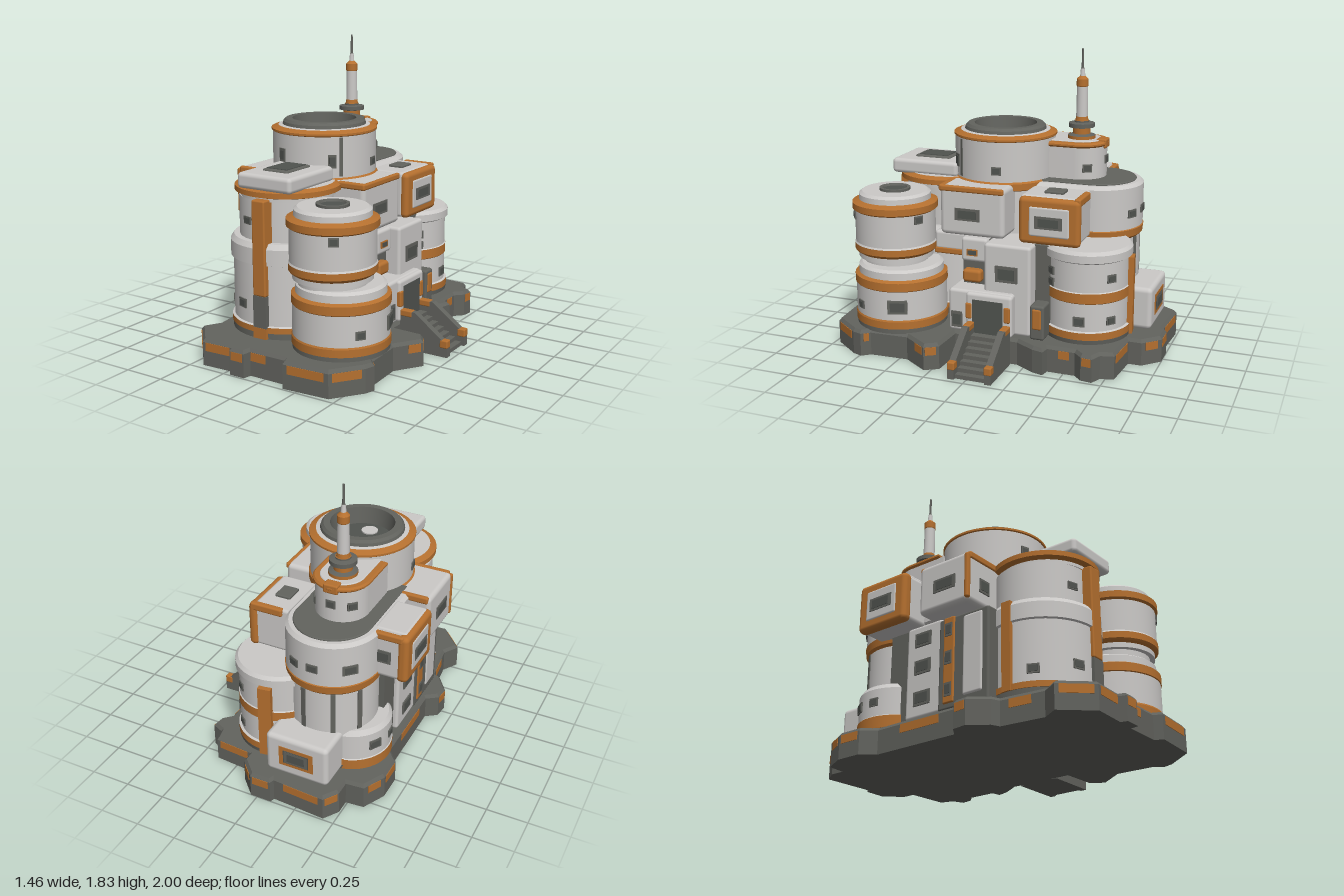
import * as THREE from 'three';
import { toCreasedNormals } from 'three/addons/utils/BufferGeometryUtils.js';
import { RoundedBoxGeometry } from 'three/addons/geometries/RoundedBoxGeometry.js';

const mat = (name, color) => Object.assign(new THREE.MeshStandardMaterial({ color }), { name });
const PALE = mat('pale panel', 0xcbc9c7);
const RUST = mat('rust orange', 0xb5702f);
const DARK = mat('dark metal', 0x62635e);
const GLASS = mat('window glass', 0x50534f);
const DEG = Math.PI / 180;

export function createModel() {
  const root = new THREE.Group();
  root.name = 'habitatBase';

  const add = (geo, m, name, parent = root) => {
    const mesh = new THREE.Mesh(geo, m);
    mesh.name = name;
    parent.add(mesh);
    return mesh;
  };

  // Box given by its limits, with softened edges
  const box = (name, m, x0, x1, y0, y1, z0, z1, r = 0.02) => {
    const w = x1 - x0, h = y1 - y0, d = z1 - z0;
    const geo = r ? new RoundedBoxGeometry(w, h, d, 2, Math.min(r, w / 2.1, h / 2.1, d / 2.1))
      : new THREE.BoxGeometry(w, h, d);
    add(geo, m, name).position.set((x0 + x1) / 2, (y0 + y1) / 2, (z0 + z1) / 2);
  };

  // Turned drum: points run upwards, each [radius, y, material of the band ending here]
  const drum = (name, x, z, pts) => {
    const g = new THREE.Group();
    g.name = name;
    g.position.set(x, 0, z);
    for (let i = 1; i < pts.length; i++) {
      const pair = [pts[i - 1], pts[i]].map(p => new THREE.Vector2(p[0], p[1]));
      add(new THREE.LatheGeometry(pair, 48), pts[i][2] || PALE, name + 'Band', g);
    }
    root.add(g);
  };

  // Block with a round rear end and straight sides running forward
  const roundBack = (name, m, x, z, r, zFront, y0, y1, bevel) => {
    const s = new THREE.Shape();
    s.moveTo(x - r, -zFront);
    s.lineTo(x + r, -zFront);
    s.absarc(x, -z, r, 0, Math.PI);
    s.closePath();
    const geo = new THREE.ExtrudeGeometry(s, { depth: y1 - y0 - 2 * bevel, bevelThickness: bevel, bevelSize: bevel,
      bevelOffset: -bevel, bevelSegments: 1, curveSegments: 32 });
    add(toCreasedNormals(geo.rotateX(-Math.PI / 2).translate(0, y0 + bevel, 0), 0.5), m, name);
  };

  // Window facing the given angle (0 = front, 90 = +x)
  const pane = (x, y, z, deg, w, h, frame = DARK) => {
    const g = new THREE.Group();
    g.name = 'window';
    g.position.set(x, y, z);
    g.rotation.y = deg * DEG;
    add(new THREE.BoxGeometry(w, h, 0.012), frame, 'windowFrame', g);
    add(new THREE.BoxGeometry(w * 0.74, h * 0.66, 0.008), GLASS, 'windowGlass', g).position.z = 0.005;
    root.add(g);
  };
  const drumPanes = (x, z, r, list) => list.forEach(([deg, y, w = 0.06, h = 0.05]) =>
    pane(x + Math.sin(deg * DEG) * r, y, z + Math.cos(deg * DEG) * r, deg, w, h));

  // Vertical rib on a drum
  const rib = (x, z, r, deg, y0, y1, w, m) => {
    const s = add(new THREE.BoxGeometry(w, y1 - y0, 0.04), m, 'drumRib');
    s.position.set(x + Math.sin(deg * DEG) * r, (y0 + y1) / 2, z + Math.cos(deg * DEG) * r);
    s.rotation.y = deg * DEG;
  };

  // Foundation slab
  const edge = [[-.43, -.99], [-.10, -.97], [-.09, -1], [.04, -1], [.14, -.9], [.14, -.82], [.39, -.8], [.41, -.72],
    [.48, -.69], [.47, -.62], [.42, -.57], [.42, -.4], [.48, -.39], [.46, -.32], [.39, -.2], [.39, .2], [.61, .21],
    [.66, .29], [.55, .45], [.56, .69], [.6, .74], [.58, .8], [.45, .97], [.16, .99], [.14, .94], [-.1, .94],
    [-.11, .99], [-.21, .99], [-.22, .95], [-.43, .96], [-.58, .79], [-.52, .69], [-.55, .42], [-.6, .4],
    [-.68, .29], [-.67, .2], [-.6, .15], [-.6, -.42], [-.67, -.5], [-.67, -.66], [-.6, -.8], [-.49, -.81], [-.49, -.9]];
  const slab = new THREE.Shape(edge.map(([x, z]) => new THREE.Vector2(x, -z)));
  const lower = new THREE.ExtrudeGeometry(slab, { depth: 0.1, bevelEnabled: false });
  const upper = new THREE.ExtrudeGeometry(slab, {
    depth: 0.06, bevelThickness: 0.02, bevelSize: 0.015, bevelOffset: -0.015, bevelSegments: 1 });
  add(lower.rotateX(-Math.PI / 2), DARK, 'foundation');
  add(upper.rotateX(-Math.PI / 2).translate(0, 0.083, 0), DARK, 'foundationTop');

  // Painted strips on the slab edge: [edge index, start, end]
  [[0, .1, .8], [2, .1, .9], [3, .2, .8], [5, .1, .9], [8, .1, .9], [10, .2, .6], [16, .2, .9], [17, .1, .5], [19, .2, .7],
    [21, .1, .9], [22, .1, .9], [24, .55, .98], [26, .1, .9], [28, .1, .9], [29, .1, .9], [31, .3, .8], [34, .1, .9],
    [36, .2, .7], [38, .1, .9], [39, .2, .8], [42, .1, .9]].forEach(([i, t0, t1]) => {
    const [ax, az] = edge[i], [bx, bz] = edge[(i + 1) % edge.length];
    const dx = bx - ax, dz = bz - az, t = (t0 + t1) / 2;
    const s = add(new THREE.BoxGeometry(Math.hypot(dx, dz) * (t1 - t0), 0.05, 0.007), RUST, 'edgeStrip');
    s.position.set(ax + dx * t, 0.117, az + dz * t);
    s.rotation.y = Math.atan2(-dz, dx);
  });

  // Front right double drum
  drum('frontRightLowerDrum', .295, .6, [[.28, .16], [.28, .19, DARK], [.285, .19, RUST], [.285, .235, RUST], [.28, .245, RUST],
    [.28, .425], [.285, .43, RUST], [.285, .48, RUST], [.262, .492, RUST], [.26, .535], [.24, .55], [0, .55]]);
  drum('frontRightUpperDrum', .27, .645, [[.2, .54], [.2, .575], [.23, .575], [.23, .605], [.245, .615, RUST],
    [.253, .625, RUST], [.253, .665, RUST], [.247, .675], [.247, .87], [.262, .88, RUST], [.262, .92, RUST],
    [.222, .937, RUST], [.22, .97], [.2, .985], [.095, .985], [.095, 1, DARK], [.075, 1, DARK], [.07, .99, DARK], [0, .99, GLASS]]);
  drumPanes(.27, .645, .247, [[34, .84], [150, .84]]);
  drumPanes(.295, .6, .28, [[110, .33, .12, .085], [55, .31]]);

  // Front left tower with collar
  drum('frontLeftTower', -.185, .45, [[.33, .16], [.33, .2, DARK], [.335, .2, RUST], [.335, .235, RUST], [.32, .24],
    [.32, .6], [.335, .605], [.335, .7], [.315, .73], [.28, .73], [.28, .97], [0, .97]]);
  drum('frontLeftRoof', -.165, .46, [[.28, .97], [.28, .99], [.315, 1, RUST], [.315, 1.03, RUST], [.275, 1.045, RUST],
    [0, 1.045]]);
  drumPanes(-.185, .45, .32, [[-19, .35, .07, .055], [-65, .31, .07, .055]]);
  drumPanes(-.185, .45, .28, [[-18, .84, .065, .045]]);
  rib(-.185, .45, .32, -92, .2, .73, .06, RUST);
  // Long front strip
  box('frontStrip', RUST, -.19, -.1, .42, .985, .7, .79, .01);
  box('frontStripLower', DARK, -.19, -.1, .23, .42, .7, .788, 0);
  box('frontStripFoot', RUST, -.19, -.1, .165, .23, .7, .79, 0);

  // Roof hatch over the front left tower
  box('roofHatch', PALE, -.31, .065, 1.035, 1.128, .32, .765, .025);
  box('roofHatchRim', DARK, -.215, -.035, 1.1, 1.14, .41, .65, .015);
  box('roofHatchPanel', GLASS, -.195, -.055, 1.135, 1.144, .435, .625, 0);

  // Central drum with hollow top
  drum('centralDrum', -.163, .08, [[.3, .16], [.3, .99], [.325, 1, RUST], [.325, 1.04, RUST], [.315, 1.05, RUST], [.315, 1.295],
    [.322, 1.3, RUST], [.322, 1.312, RUST], [.28, 1.328, RUST], [.255, 1.332], [.25, 1.35, DARK], [.235, 1.365, DARK],
    [.195, 1.365, DARK], [.18, 1.26, DARK], [0, 1.26, GLASS]]);
  add(new THREE.CylinderGeometry(.05, .05, .008, 24), PALE, 'roofLamp').position.set(-.17, 1.264, .17);
  drumPanes(-.163, .08, .315, [[-18, 1.17, .05, .08], [42, 1.15, .05, .08], [-80, 1.12], [100, 1.12], [200, 1.15]]);
  rib(-.163, .08, .3, 52, 1.06, 1.29, .02, DARK);

  // Rear tower and roof deck
  drum('rearTower', -.26, -.5, [[.27, .16], [.275, .19, DARK], [.275, .235, RUST], [.265, .24], [.265, .7], [.28, .715, RUST],
    [.285, .76, RUST], [.275, .77, RUST]]);
  roundBack('rearTowerUpper', PALE, -.26, -.5, .28, 0, .745, 1.04, .02);
  roundBack('rearDeck', DARK, -.26, -.5, .235, 0, 1, 1.05, .005);
  drumPanes(-.26, -.5, .28, [[153, .86, .07, .05], [180, .87, .07, .05], [225, .87, .09, .06]]);
  [165, 205, 240].forEach(a => rib(-.26, -.5, .25, a, .19, .7, .03, DARK));

  // Mast house and mast
  roundBack('mastHouse', PALE, -.26, -.385, .16, -.12, 1.04, 1.25, .005);
  roundBack('mastHouseRim', RUST, -.26, -.385, .172, -.15, 1.245, 1.275, .01);
  roundBack('mastHouseRoof', PALE, -.26, -.385, .132, -.15, 1.25, 1.281, .004);
  box('mastHouseTab', RUST, -.305, -.215, 1.23, 1.287, -.555, -.49, .01);
  drumPanes(-.26, -.385, .16, [[180, 1.16], [225, 1.15], [120, 1.12]]);
  drum('mast', -.26, -.385, [[.085, 1.275], [.085, 1.3, RUST], [.055, 1.31, DARK], [.055, 1.345, RUST], [.08, 1.35, DARK],
    [.08, 1.375, DARK], [.045, 1.38, DARK], [.045, 1.39, DARK], [.04, 1.39, RUST], [.036, 1.415, RUST], [.034, 1.6],
    [.036, 1.605, RUST], [.036, 1.645, RUST], [.016, 1.665, RUST], [.012, 1.71], [.008, 1.715, DARK], [.006, 1.83, DARK], [0, 1.83, DARK]]);

  // Rear right drum
  drum('rearRightDrum', .075, -.54, [[.26, .16], [.265, .19, DARK], [.265, .235, RUST], [.25, .24], [.25, .41],
    [.256, .415, RUST], [.256, .475, RUST], [.25, .48], [.25, .655], [.268, .665], [.268, .71], [.25, .73], [0, .73]]);
  drumPanes(.075, -.54, .25, [[47, .58], [47, .51], [95, .3, .07, .06], [140, .56], [140, .3]]);
  rib(.075, -.54, .26, 188, .17, .65, .08, RUST);

  // Rear left low drum and rear annex
  drum('rearLeftDrum', -.37, -.48, [[.245, .16], [.245, .23, RUST], [.24, .235], [.24, .4], [.22, .43], [0, .43]]);
  drumPanes(-.37, -.48, .24, [[240, .32, .08, .06], [275, .32]]);
  box('rearAnnex', PALE, -.42, -.02, .165, .43, -.915, -.6, .03);
  pane(-.22, .3, -.912, 180, .22, .13, RUST);
  pane(-.22, .3, -.916, 180, .15, .08);

  // Side pods on the left
  box('frontPodLeft', PALE, -.675, -.1, .735, 1.04, -.075, .29, .03);
  box('rearPodLeft', PALE, -.7, -.1, .735, 1.03, -.51, -.15, .03);
  box('rearPodFrameLeft', RUST, -.722, -.65, .73, 1.035, -.515, -.145, .03);
  box('rearPodTopLeft', PALE, -.695, -.5, .95, 1.042, -.475, -.165, .015);
  box('rearPodBackTrimLeft', RUST, -.69, -.5, .99, 1.036, -.517, -.48, .012);
  box('rearPodFaceLeft', PALE, -.727, -.69, .785, .98, -.45, -.21, .015);
  [-.08, .265].forEach(z => box('frontPodTrim', RUST, -.66, -.42, 1, 1.045, z, z + .032, .012));
  box('frontPodTrimEdge', RUST, -.682, -.65, .75, 1.03, .265, .295, .012);
  pane(-.725, .88, -.33, -90, .17, .08);
  pane(-.675, .88, .12, -90, .16, .08);
  pane(-.53, .86, .291, 0, .085, .085);
  pane(-.56, .88, -.511, 180, .12, .08);

  // Side pods on the right
  box('frontPodRight', PALE, -.1, .283, .735, 1.04, -.075, .34, .03);
  box('frontPodTrimRight', RUST, .1, .287, 1.005, 1.045, .31, .346, .012);
  box('frontPodTrimSide', RUST, .26, .288, 1.005, 1.043, -.07, .34, .012);
  pane(.283, .87, .16, 90, .16, .075);
  box('rearPodRight', PALE, -.1, .25, .735, 1.02, -.53, -.165);
  box('rearPodFrameRight', RUST, .225, .285, .73, 1.015, -.545, -.165, .03);
  box('rearPodBackTrim', RUST, .06, .27, .975, 1.025, -.545, -.505, .012);
  box('rearPodFaceRight', PALE, .25, .29, .78, .965, -.485, -.23, .015);
  box('rearRoofHatch', DARK, .075, .175, 1, 1.035, -.41, -.29, .008);
  pane(.29, .87, -.355, 90, .17, .075);

  // Left side wall with stacked windows
  box('leftWall', PALE, -.57, 0, .165, .735, -.25, .02);
  box('leftWallRear', DARK, -.54, 0, .165, .735, -.4, -.2, 0);
  box('leftWallFront', DARK, -.575, 0, .165, .72, 0, .36, .015);
  box('leftWallStripe', RUST, -.583, -.5, .2, .72, .04, .12, .01);
  [.28, .47, .64].forEach(y => {
    pane(-.572, y, -.12, -90, .12, .085);
    pane(-.582, y, .08, -90, .05, .08);
  });
  box('leftWallPanel', PALE, -.583, -.4, .22, .7, .18, .32, .015);

  // Right side block and small ducts
  box('rightBlock', PALE, -.1, .345, .165, .725, -.265, .03);
  pane(.347, .545, -.115, 90, .14, .1);
  box('rightCore', DARK, -.1, .25, .165, .72, -.4, .2, 0);
  box('rightDuct', RUST, .15, .3, .45, .53, .07, .19, .02);
  box('rightDuctUpper', PALE, .1, .29, .58, .73, .03, .2);
  box('towerDuct', PALE, -.05, .21, .61, .73, .19, .41);
  box('towerDuctBand', RUST, -.05, .213, .585, .625, .19, .412, .01);
  pane(.292, .64, .125, 90, .07, .04, RUST);
  box('rightPillar', DARK, .25, .37, .165, .38, -.36, -.27, .015);
  box('rightPillarBand', RUST, .25, .376, .23, .36, -.345, -.285, .012);

  // Entrance and stairs
  box('entrance', PALE, .1, .385, .165, .43, -.17, .245);
  box('entranceFrame', PALE, .3, .405, .165, .425, -.17, .125);
  box('entranceDoor', GLASS, .3, .409, .165, .385, -.115, .08, 0);
  [-.14, .105].forEach(z => box('doorPost', RUST, .36, .412, .26, .36, z - .02, z + .02, .01));
  pane(.386, .24, .19, 90, .07, .1);
  for (let i = 0; i < 7; i++)
    box('step', DARK, .38, .46 + i * .04, 0, .175 - i * .025, -.13, .08, 0);
  const rail = new THREE.Shape([[.4, 0], [.72, 0], [.72, .06], [.69, .1], [.5, .24], [.4, .24]].map(p => new THREE.Vector2(...p)));
  [-.16, .07].forEach(z => {
    add(new THREE.ExtrudeGeometry(rail, { depth: .04, bevelEnabled: false }), DARK, 'stairRail').position.z = z;
    box('railEnd', RUST, .67, .722, .055, .105, z - .003, z + .043, .008);
    box('railTop', RUST, .4, .48, .205, .245, z - .003, z + .043, .008);
  });

  return root;
}
